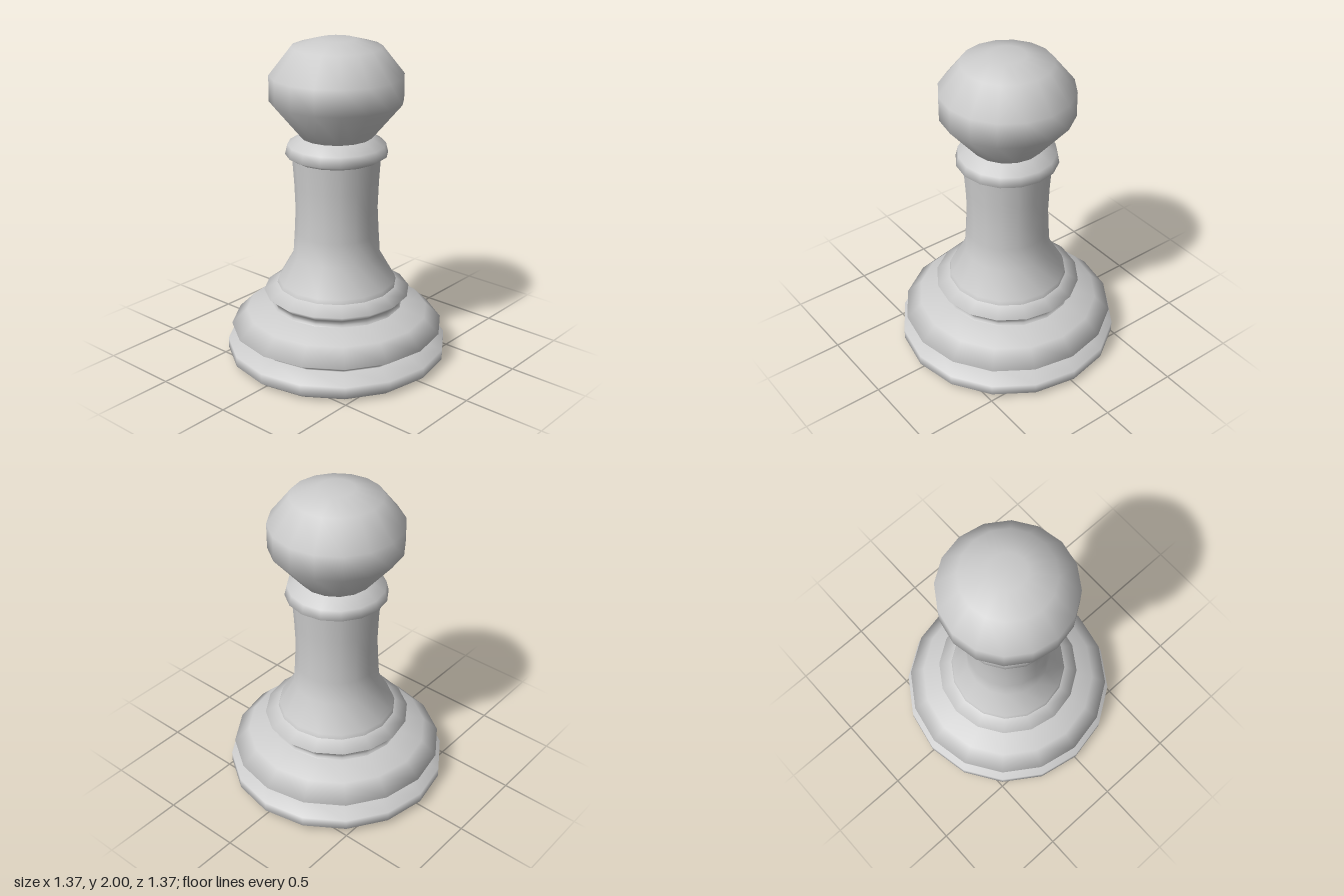
import * as THREE from 'three';

const SIDES = 16;
const material = new THREE.MeshStandardMaterial({ color: 0xcccccc });

// Turned part from [radius, height] pairs, listed bottom to top
function turned(name, profile) {
  const points = profile.map(([r, y]) => new THREE.Vector2(r, y));
  const mesh = new THREE.Mesh(new THREE.LatheGeometry(points, SIDES), material);
  mesh.name = name;
  return mesh;
}

export function createModel() {
  const group = new THREE.Group();
  group.name = 'pawn';

  group.add(
    // flat underside, kept separate for a sharp edge
    turned('underside', [[0, 0], [0.64, 0]]),
    // foot disc
    turned('foot', [[0.64, 0], [0.685, 0.035], [0.685, 0.1], [0.565, 0.138]]),
    // wide bulging base
    turned('base', [[0.565, 0.138], [0.56, 0.145], [0.66, 0.205], [0.565, 0.3], [0.41, 0.348]]),
    // sharp ring under the stem
    turned('lowerRing', [[0.41, 0.348], [0.4, 0.36], [0.4, 0.385], [0.453, 0.43], [0.37, 0.478]]),
    // waisted stem
    turned('stem', [[0.37, 0.478], [0.362, 0.505], [0.268, 0.67], [0.258, 0.82], [0.251, 0.96], [0.257, 1.12], [0.268, 1.285]]),
    // ring at the neck
    turned('neckRing', [[0.268, 1.285], [0.31, 1.31], [0.296, 1.37], [0.218, 1.418]]),
    // ball head
    turned('head', [[0.218, 1.418], [0.4, 1.635], [0.4, 1.79], [0.27, 1.955], [0.11, 2], [0, 2]])
  );
  return group;
}
